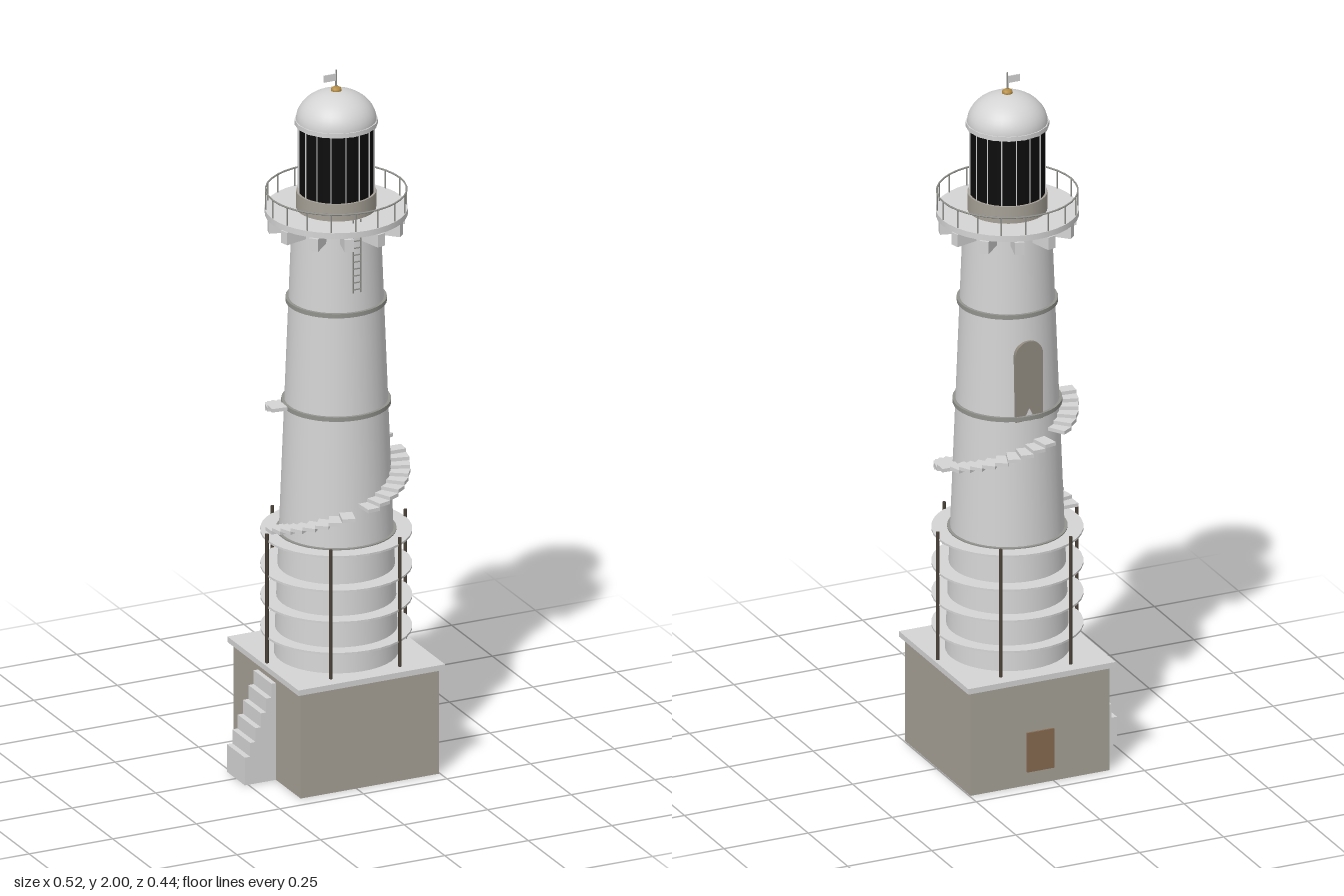
import * as THREE from 'three';

const mat = (name, color, side = THREE.FrontSide) => {
  const m = new THREE.MeshStandardMaterial({ color, side });
  m.name = name;
  return m;
};

export function createModel() {
  const white = mat('whitewash', 0xd4d4d4, THREE.DoubleSide);
  const stone = mat('stone', 0xa5a096);
  const band = mat('band grey', 0x92928e);
  const shutter = mat('shutter taupe', 0x8f897f);
  const iron = mat('dark iron', 0x4a4238);
  const wood = mat('door brown', 0x86694f);
  const black = mat('lantern black', 0x0c0c0c);
  const gold = mat('brass', 0xb48c42);

  const model = new THREE.Group();
  model.name = 'lighthouse';
  const tower = new THREE.Group(); // everything round shares this axis
  tower.name = 'lighthouseTower';
  tower.position.x = 0.04;
  model.add(tower);

  const add = (name, geo, material, x = 0, y = 0, z = 0, parent = tower) => {
    const m = new THREE.Mesh(geo, material);
    m.name = name;
    m.position.set(x, y, z);
    parent.add(m);
    return m;
  };
  const box = (name, w, h, d, material, x, y, z, parent) =>
    add(name, new THREE.BoxGeometry(w, h, d), material, x, y, z, parent);
  // Cylinder between two heights
  const drum = (name, r0, r1, y0, y1, material, sides = 32, x = 0, z = 0) =>
    add(name, new THREE.CylinderGeometry(r1, r0, y1 - y0, sides), material, x, (y0 + y1) / 2, z);
  // Flat ring with thickness
  const ring = (name, rIn, rOut, y0, y1, material, sides = 36) => {
    const p = [[rIn, y0], [rOut, y0], [rOut, y1], [rIn, y1], [rIn, y0]];
    const pts = p.map(([r, y]) => new THREE.Vector2(r, y));
    const geo = new THREE.LatheGeometry(pts, sides).toNonIndexed();
    geo.computeVertexNormals();
    return add(name, geo, material);
  };
  // Calls fn with a holder turned about the tower axis; local +x points outwards
  const around = (name, angle, fn) => {
    const g = new THREE.Group();
    g.name = name;
    g.rotation.y = angle;
    tower.add(g);
    fn(g);
  };
  const radiusAt = (y) => 0.168 - (y - 0.318) * 0.0385;

  // Square base, slab and door at the back
  box('base', 0.414, 0.304, 0.414, stone, 0, 0.152, 0);
  box('baseSlab', 0.438, 0.016, 0.438, white, 0, 0.311, 0);
  box('baseDoor', 0.08, 0.115, 0.008, wood, 0, 0.097, -0.208);

  // Solid stairs up the side of the base
  for (let i = 0; i < 6; i++) {
    const x0 = -0.26 + i * 0.016, h = 0.08 + i * 0.04;
    box('entranceStep', 0.016, h, 0.11, white, x0 + 0.008, h / 2, 0, model);
  }

  // Tapered shaft with raised bands
  drum('shaft', radiusAt(0.318), radiusAt(1.585), 0.318, 1.585, white, 40);
  for (const y of [0.67, 1.045, 1.34])
    drum('shaftBand', radiusAt(y) + 0.008, radiusAt(y) + 0.008, y - 0.006, y + 0.006, band, 40);

  // Arched shutter, set into the back of the shaft
  const arch = new THREE.Shape();
  arch.moveTo(-0.041, 1.035);
  arch.lineTo(0.041, 1.035);
  arch.lineTo(0.041, 1.225);
  arch.absarc(0, 1.225, 0.041, 0, Math.PI, false);
  arch.closePath();
  add('archedShutter', new THREE.ExtrudeGeometry(arch, { depth: 0.02, bevelEnabled: false, curveSegments: 8 }),
    shutter, 0, 0, -0.139);

  // Scaffold: walkway rings and six poles
  for (const y of [0.39, 0.48, 0.57, 0.67])
    ring('scaffoldWalkway', radiusAt(y) - 0.004, 0.205, y - 0.003, y + 0.003, white);
  for (let i = 0; i < 6; i++) {
    const a = i * Math.PI / 3;
    drum('scaffoldPole', 0.005, 0.005, 0.318, 0.692, iron, 8, 0.207 * Math.cos(a), 0.207 * Math.sin(a));
  }

  // Broken spiral stair climbing from the right side across the front
  for (let i = 0; i < 35; i++) {
    if (i % 10 === 8) continue;
    const y = 0.702 + i * 0.0101;
    const r = radiusAt(y);
    const turn = Math.PI + THREE.MathUtils.degToRad(1 + i * 10.4);
    around('spiralStep', turn, (g) =>
      box('tread', 0.062, 0.01, 0.036, white, r + 0.02, y, 0, g));
  }

  // Gallery deck, brackets and railing
  drum('galleryDeck', 0.193, 0.193, 1.586, 1.603, white, 36);
  for (let i = 0; i < 12; i++)
    around('galleryBracket', (i + 0.5) * Math.PI / 6, (g) =>
      box('bracket', 0.082, 0.036, 0.026, white, 0.145, 1.562, 0, g));
  const rail = (y) => {
    const t = add('galleryRail', new THREE.TorusGeometry(0.19, 0.0025, 6, 36), band, 0, y, 0);
    t.rotation.x = Math.PI / 2;
  };
  rail(1.655);
  for (let i = 0; i < 18; i++) {
    const a = i * Math.PI / 9;
    drum('railPost', 0.002, 0.002, 1.6, 1.656, band, 6, 0.19 * Math.cos(a), 0.19 * Math.sin(a));
  }

  // Short ladder under the gallery at the front
  for (const x of [-0.0115, 0.0115])
    drum('ladderRail', 0.0017, 0.0017, 1.4, 1.612, band, 6, x, 0.128);
  for (let i = 0; i < 9; i++)
    box('ladderRung', 0.023, 0.003, 0.003, band, 0, 1.41 + i * 0.02, 0.128);

  // Lantern room: plinth, dark glazing and glazing bars
  drum('lanternPlinth', 0.108, 0.108, 1.603, 1.652, stone);
  drum('lanternGlazing', 0.102, 0.102, 1.652, 1.848, black);
  for (let i = 0; i < 16; i++) {
    const a = (i + 0.5) * Math.PI / 8;
    drum('glazingBar', 0.0017, 0.0017, 1.652, 1.848, white, 6, 0.103 * Math.cos(a), 0.103 * Math.sin(a));
  }
  drum('lanternCornice', 0.113, 0.113, 1.845, 1.858, white, 16);

  // Dome, finial, rod and small flag
  const dome = add('dome', new THREE.SphereGeometry(0.109, 32, 12, 0, Math.PI * 2, 0, Math.PI / 2), white, 0, 1.856, 0);
  dome.scale.y = 0.78;
  const finial = add('finial', new THREE.SphereGeometry(0.0155, 8, 6), gold, 0, 1.942, 0);
  finial.scale.y = 0.7;
  drum('flagRod', 0.003, 0.002, 1.945, 2, band, 6);
  box('flag', 0.036, 0.02, 0.003, white, -0.019, 1.979, 0);

  return model;
}
